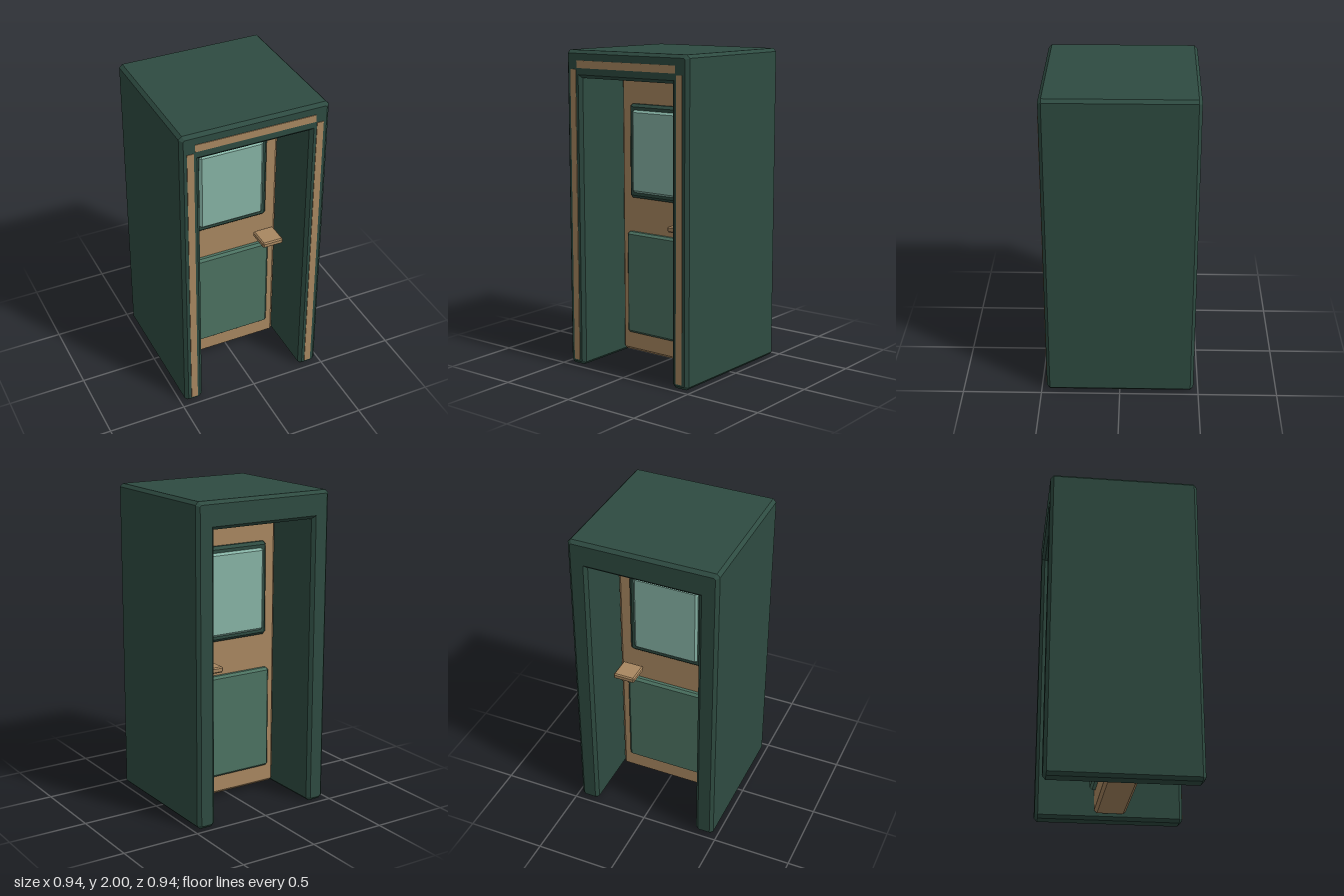
import * as THREE from 'three';
import { ConvexGeometry } from 'three/addons/geometries/ConvexGeometry.js';

const flat = (name, color) => {
  const m = new THREE.MeshStandardMaterial({ color });
  m.name = name;
  return m;
};

// Box with every edge cut by a flat chamfer c
function chamferBox(w, h, d, c) {
  const points = [];
  for (const sx of [-1, 1]) for (const sy of [-1, 1]) for (const sz of [-1, 1]) {
    const x = w / 2, y = h / 2, z = d / 2;
    points.push(
      new THREE.Vector3(sx * x, sy * (y - c), sz * (z - c)),
      new THREE.Vector3(sx * (x - c), sy * y, sz * (z - c)),
      new THREE.Vector3(sx * (x - c), sy * (y - c), sz * z));
  }
  return new ConvexGeometry(points);
}

export function createModel() {
  const darkGreen = flat('dark green', 0x2e4b41);
  const midGreen = flat('panel green', 0x4c7261);
  const wood = flat('tan wood', 0xa88760);
  const glass = flat('pale glass', 0x86b3a5);

  const model = new THREE.Group();
  model.name = 'doorBooth';
  const add = (name, geometry, material, x, y, z) => {
    const mesh = new THREE.Mesh(geometry, material);
    mesh.name = name;
    mesh.position.set(x, y, z);
    model.add(mesh);
  };

  // Deep surround: chamfered arch profile swept front to back
  const c = 0.02, out = 0.47, inn = 0.35, top = 2, lintel = 1.83;
  const half = [
    [inn, lintel], [inn, c], [inn + c, 0], [out - c, 0],
    [out, c], [out, top - c], [out - c, top],
  ];
  const outline = [...half, ...half.map(([x, y]) => [-x, y]).reverse()];
  const arch = new THREE.Shape(outline.map(([x, y]) => new THREE.Vector2(x, y)));
  const depth = 0.937;
  const surround = new THREE.ExtrudeGeometry(arch, {
    depth: depth - 2 * c, bevelEnabled: true, bevelSegments: 1,
    bevelSize: c, bevelThickness: c, bevelOffset: -c,
  });
  add('surround', surround, darkGreen, 0, 0, -0.47 + c);

  // Thin trim strips on the front of the surround
  for (const s of [-1, 1]) {
    add(s > 0 ? 'leftTrim' : 'rightTrim', new THREE.BoxGeometry(0.042, 1.85, 0.008), wood, s * 0.409, 0.957, 0.467);
  }
  add('topTrim', new THREE.BoxGeometry(0.76, 0.046, 0.008), wood, 0, 1.914, 0.467);

  // Door slab
  add('door', chamferBox(0.67, 1.79, 0.2, 0.018), wood, 0, 0.925, 0);

  // Window, lower panel and handle on both faces
  for (const s of [1, -1]) {
    const side = s > 0 ? 'front' : 'back';
    add(side + 'WindowFrame', chamferBox(0.496, 0.6, 0.07, 0.018), darkGreen, 0, 1.355, s * 0.1);
    add(side + 'WindowGlass', chamferBox(0.426, 0.525, 0.06, 0.014), glass, 0, 1.355, s * 0.122);
    add(side + 'LowerPanel', chamferBox(0.545, 0.67, 0.07, 0.015), midGreen, 0, 0.495, s * 0.1);
    add(side + 'Handle', chamferBox(0.14, 0.037, 0.15, 0.008), wood, 0.234, 0.92, s * 0.195);
  }
  return model;
}
